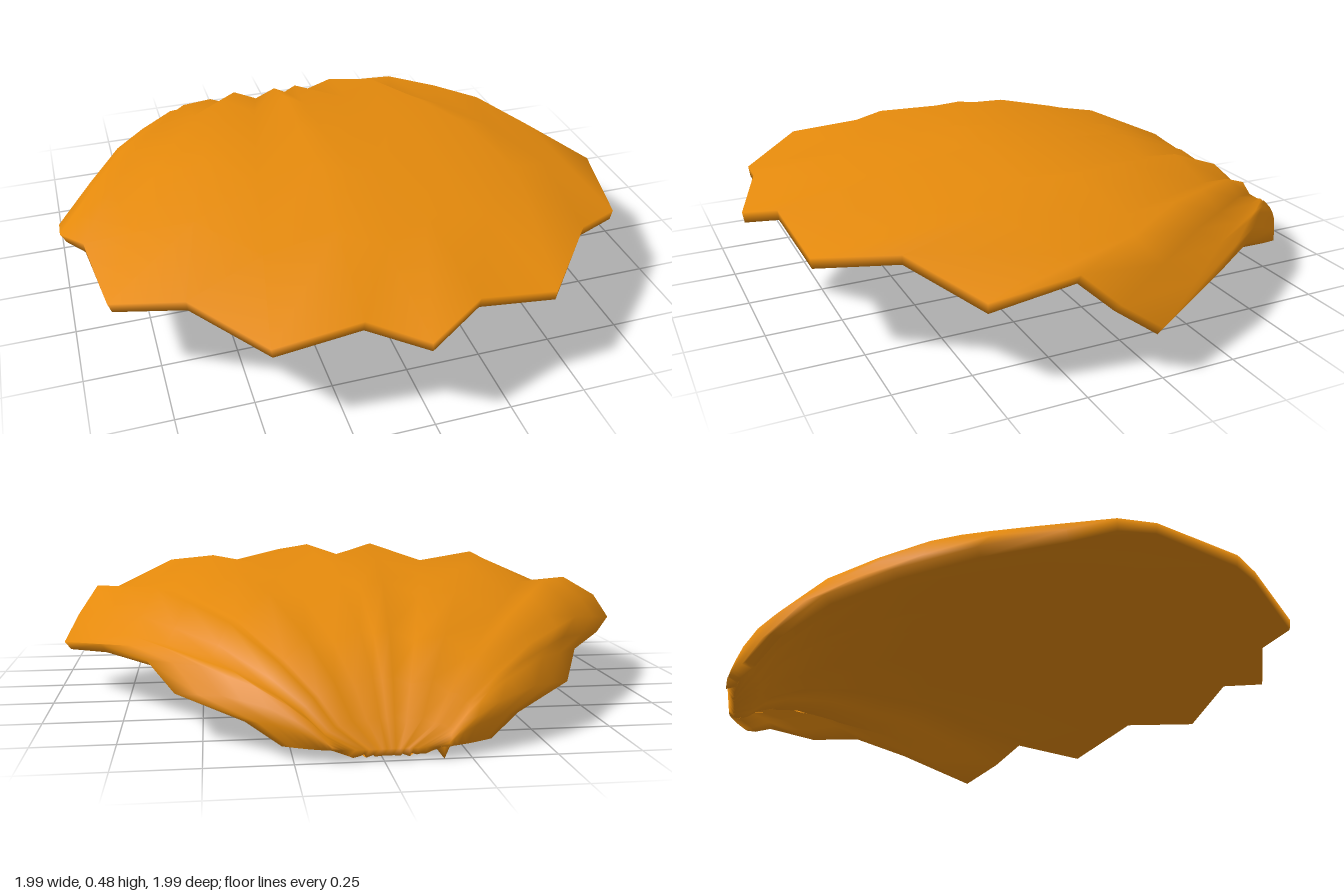
import * as THREE from 'three';

// Rim of one half, from the front middle round to the hinge: [x, y, z, bulge]
const front = [
  [0, 0.32, 0.99, 0.27], [0.18, 0.38, 0.91, 0.28], [0.45, 0.32, 0.88, 0.245],
  [0.65, 0.37, 0.66, 0.265], [0.87, 0.28, 0.49, 0.21], [0.91, 0.33, 0.22, 0.205],
];
// The wing tips differ: the left one droops, the right one flares
const leftTip = [[0.97, 0.24, 0.12, 0.17], [1.01, 0.16, 0, 0.17]];
const rightTip = [[0.98, 0.28, 0.07, 0.17], [0.98, 0.22, -0.08, 0.17]];
const back = [
  [0.85, 0.21, -0.31, 0.13], [0.69, 0.2, -0.53, 0.1], [0.6, 0.14, -0.72, 0.07],
  [0.4, 0.09, -0.87, 0.03], [0.3, 0.035, -0.94, 0],
];

// Arch of every rib from hinge to rim: [position along rib, share of bulge]
const arch = [[0, 0], [0.04, 0.2], [0.08, 0.5], [0.16, 0.79], [0.31, 1],
  [0.47, 0.93], [0.62, 0.82], [0.8, 0.43], [1, 0]];
const THICKNESS = 0.036, MIDDLE = -0.02;

// Points of one rib running from the hinge to its rim point
function rib([x, y, z, bulge], index, side) {
  const hingeX = 0.15 * index / 12;
  const curve = 1 - 0.3 * Math.min(1, index / 3);
  return arch.map(([t, f]) => new THREE.Vector3(
    MIDDLE + side * (hingeX + (x - hingeX) * Math.pow(t, curve)),
    0.035 + (y - 0.035) * t + bulge * f,
    -1 + (z + 1) * t));
}

function shellGeometry() {
  const left = [...front, ...leftTip, ...back].map((p, i) => rib(p, i, 1));
  const right = [...front, ...rightTip, ...back].map((p, i) => rib(p, i, -1));
  const ribs = [...right.slice(1).reverse(), ...left];
  const cols = ribs.length, rows = arch.length, count = cols * rows;
  const id = (u, t) => u * rows + t;

  // Outer skin
  const outer = [];
  for (let u = 0; u < cols - 1; u++) {
    for (let t = 0; t < rows - 1; t++) {
      const a = id(u, t), b = id(u, t + 1), c = id(u + 1, t + 1), d = id(u + 1, t);
      outer.push(a, b, d, b, c, d);
    }
  }
  const skin = new THREE.BufferGeometry().setFromPoints(ribs.flat());
  skin.setIndex(outer);
  skin.computeVertexNormals();

  // Inner skin, offset along the normals and kept above the ground
  const pos = skin.attributes.position, nor = skin.attributes.normal;
  const points = ribs.flat();
  for (let i = 0; i < count; i++) {
    const n = new THREE.Vector3().fromBufferAttribute(nor, i);
    const p = new THREE.Vector3().fromBufferAttribute(pos, i).addScaledVector(n, -THICKNESS);
    p.y = Math.max(0, p.y);
    points.push(p);
  }
  const index = [...outer];
  for (let i = 0; i < outer.length; i += 3) {
    index.push(outer[i] + count, outer[i + 2] + count, outer[i + 1] + count);
  }

  // Edge wall joining both skins all the way round
  const loop = [];
  for (let t = 0; t < rows - 1; t++) loop.push(id(0, t));
  for (let u = 0; u < cols - 1; u++) loop.push(id(u, rows - 1));
  for (let t = rows - 1; t > 0; t--) loop.push(id(cols - 1, t));
  for (let u = cols - 1; u > 0; u--) loop.push(id(u, 0));
  loop.forEach((a, i) => {
    const b = loop[(i + 1) % loop.length];
    index.push(a + count, b + count, b, a + count, b, a);
  });

  const geometry = new THREE.BufferGeometry().setFromPoints(points);
  geometry.setIndex(index);
  geometry.computeVertexNormals();
  return geometry;
}

export function createModel() {
  const group = new THREE.Group();
  group.name = 'seashell';
  const shell = new THREE.Mesh(shellGeometry(), new THREE.MeshStandardMaterial({ color: 0xe58a0c }));
  shell.name = 'ribbedShell';
  group.add(shell);
  return group;
}
